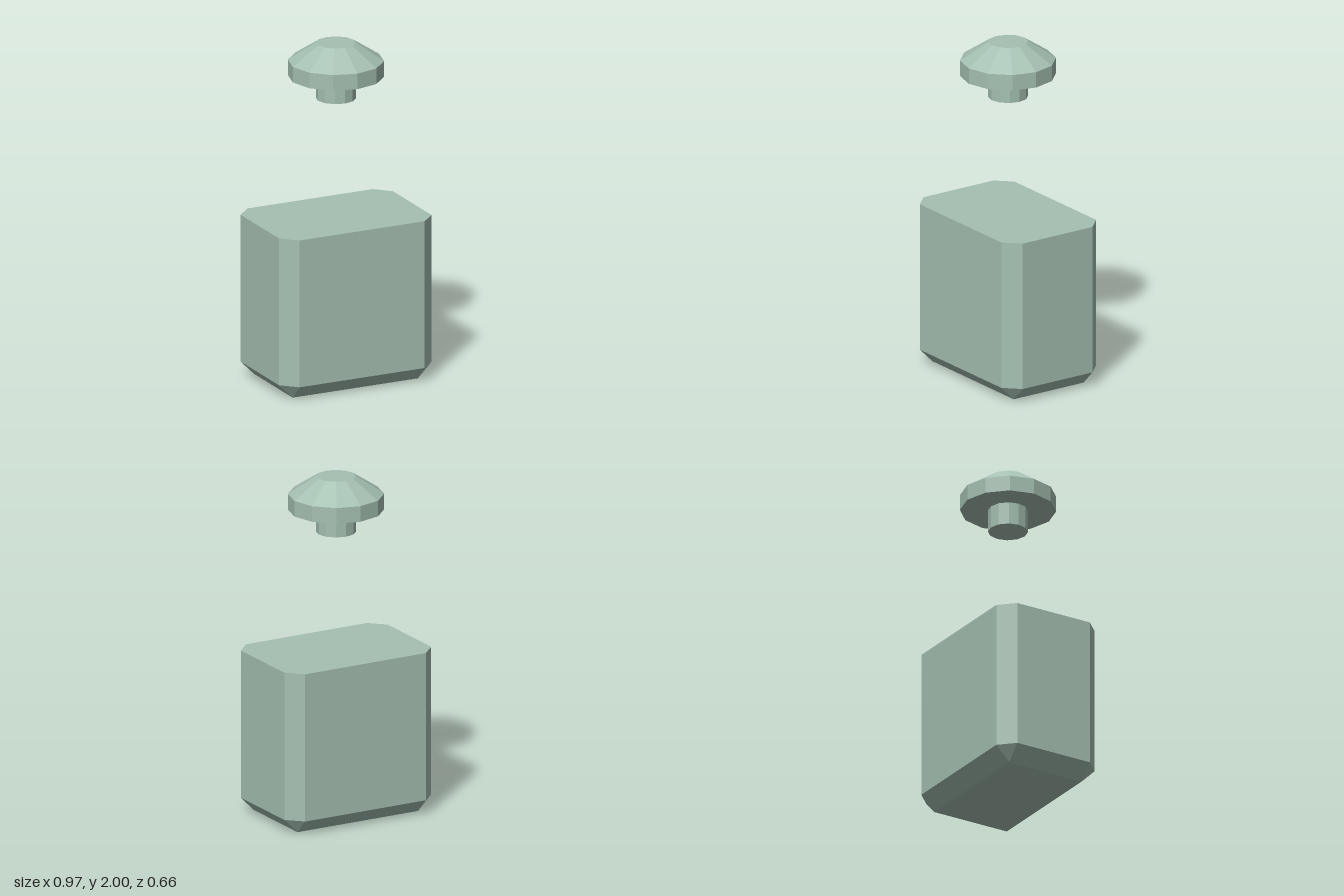
import * as THREE from 'three';
import { ConvexGeometry } from 'three/addons/geometries/ConvexGeometry.js';

export function createModel() {
  const group = new THREE.Group();
  const paleGreen = new THREE.MeshStandardMaterial({ color: 0xa5c0b2, flatShading: true });
  paleGreen.name = 'paleGreen';

  const add = (name, geometry) => {
    const mesh = new THREE.Mesh(geometry, paleGreen);
    mesh.name = name;
    group.add(mesh);
  };

  // Jar body: chamfered upright edges, bevelled down to a smaller rectangular base
  const halfX = 0.486, halfZ = 0.332, bevel = 0.087, height = 0.967;
  const corners = [];
  for (const sx of [-1, 1]) {
    for (const sz of [-1, 1]) {
      const innerX = sx * (halfX - bevel), innerZ = sz * (halfZ - bevel);
      corners.push(new THREE.Vector3(innerX, 0, innerZ));
      for (const y of [bevel, height]) {
        corners.push(new THREE.Vector3(sx * halfX, y, innerZ));
        corners.push(new THREE.Vector3(innerX, y, sz * halfZ));
      }
    }
  }
  add('body', new ConvexGeometry(corners));

  // Stopper floating above: narrow plug, wide rim, sloping crown
  const profile = [
    [0, 1.667], [0.114, 1.667], [0.114, 1.8], [0.275, 1.8],
    [0.275, 1.893], [0.114, 2], [0, 2],
  ].map(([r, y]) => new THREE.Vector2(r, y));
  add('stopper', new THREE.LatheGeometry(profile, 12));

  return group;
}
